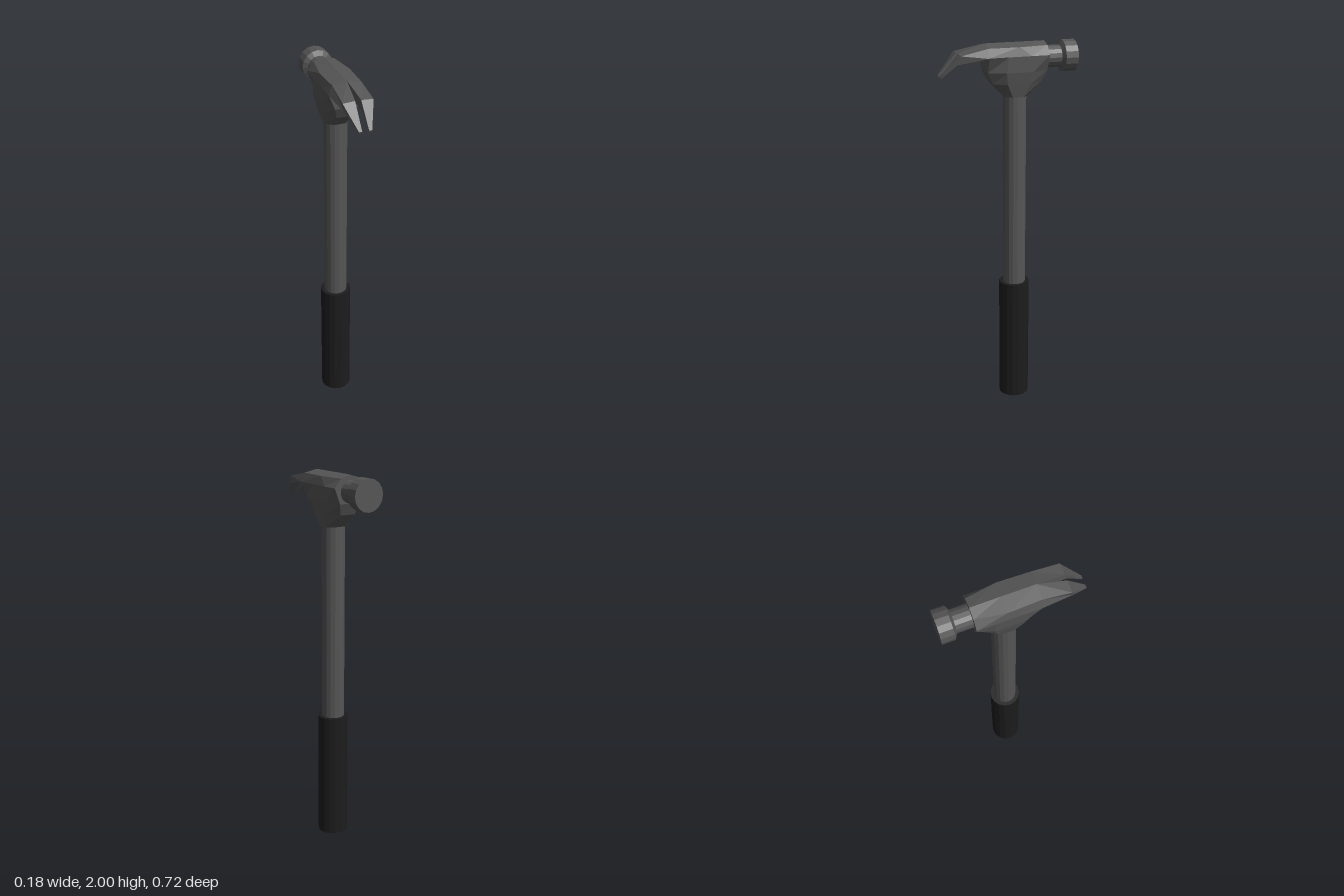
import * as THREE from 'three';

const steel = new THREE.MeshStandardMaterial({ color: 0x555555, flatShading: true });
const rubber = new THREE.MeshStandardMaterial({ color: 0x1c1c1c, flatShading: true });

// Joins rings of points (counter-clockwise about the loft direction) and caps both ends
function loft(rings) {
  const n = rings[0].length, last = rings.length - 1, pos = [];
  const tri = (...pts) => pts.forEach((p) => pos.push(...p));
  for (let i = 0; i < last; i++) {
    for (let j = 0; j < n; j++) {
      const k = (j + 1) % n;
      const a = rings[i][j], b = rings[i][k], c = rings[i + 1][k], d = rings[i + 1][j];
      tri(a, b, c);
      tri(a, c, d);
    }
  }
  for (let j = 1; j < n - 1; j++) {
    tri(rings[0][0], rings[0][j + 1], rings[0][j]);
    tri(rings[last][0], rings[last][j], rings[last][j + 1]);
  }
  const geo = new THREE.BufferGeometry();
  geo.setAttribute('position', new THREE.Float32BufferAttribute(pos, 3));
  geo.computeVertexNormals();
  return geo;
}

export function createModel() {
  const model = new THREE.Group();
  model.name = 'clawHammer';
  const add = (name, geo, material, parent = model) => {
    const mesh = new THREE.Mesh(geo, material);
    mesh.name = name;
    parent.add(mesh);
    return mesh;
  };

  // Handle: grip and shaft
  const axisZ = -0.039;
  add('grip', new THREE.CylinderGeometry(0.082, 0.082, 0.69, 16), rubber).position.set(0, 0.345, axisZ);
  add('shaft', new THREE.CylinderGeometry(0.061, 0.061, 1.1, 16), steel).position.set(0, 1.23, axisZ);

  const head = new THREE.Group();
  head.name = 'head';
  model.add(head);

  // Head body: eight-sided rings stacked upwards
  // [y, zBack, zFront, half width at back, middle, front, zMidBack, zMidFront]
  const bodyRings = [
    [1.73, -0.1, 0.022, 0.03, 0.065, 0.03, -0.068, -0.01],
    [1.8, -0.17, 0.09, 0.042, 0.08, 0.042, -0.1, 0.022],
    [1.86, -0.195, 0.12, 0.06, 0.091, 0.06, -0.11, 0.03],
    [1.94, -0.196, 0.12, 0.092, 0.092, 0.092, -0.1, 0.02],
    [1.985, -0.196, 0.12, 0.055, 0.078, 0.073, -0.045, -0.035],
    [2.0, -0.196, 0.12, 0, 0, 0, -0.045, -0.035],
  ].map(([y, zb, zf, xb, xm, xf, mb, mf]) => [
    [xf, y, zf], [xm, y, mf], [xm, y, mb], [xb, y, zb],
    [-xb, y, zb], [-xm, y, mb], [-xm, y, mf], [-xf, y, zf],
  ]);
  add('headBody', loft(bodyRings), steel, head);

  // Claw prongs: outer bottom, outer top, inner top, inner bottom
  const prong = [
    [[0.092, 1.938, 0.119], [0.073, 1.985, 0.119], [0, 2.0, 0.119], [0, 1.935, 0.119]],
    [[0.07, 1.912, 0.278], [0.077, 1.956, 0.262], [0.015, 1.96, 0.262], [0.015, 1.912, 0.278]],
    [[0.033, 1.84, 0.356], [0.033, 1.848, 0.358], [0.017, 1.848, 0.358], [0.017, 1.84, 0.356]],
  ];
  const mirrored = prong.map((ring) => ring.map(([x, y, z]) => [-x, y, z]).reverse());
  add('leftClaw', loft(prong), steel, head);
  add('rightClaw', loft(mirrored), steel, head);

  // Neck and striking face, turned about the z axis
  const profile = [[0, 0.18], [0.057, 0.18], [0.057, 0.277], [0.082, 0.291], [0.082, 0.357], [0, 0.357]];
  const poll = new THREE.LatheGeometry(profile.map(([r, h]) => new THREE.Vector2(r, h)), 16);
  poll.rotateX(-Math.PI / 2);
  add('strikingFace', poll, steel, head).position.y = 1.918;

  return model;
}
